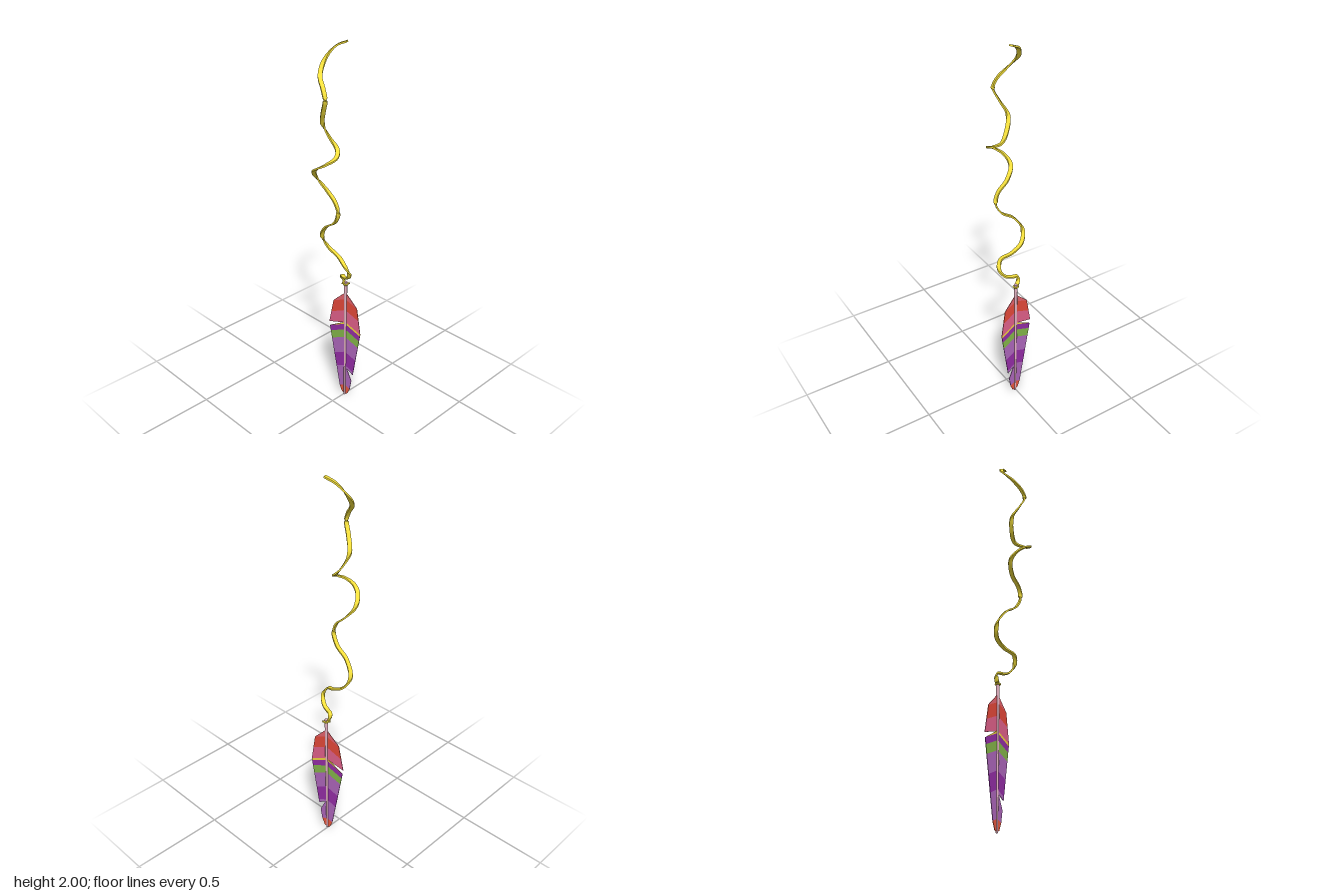
import * as THREE from 'three';
import { mergeGeometries } from 'three/addons/utils/BufferGeometryUtils.js';

const mat = (color) => new THREE.MeshStandardMaterial({ color, side: THREE.DoubleSide });
const YELLOW = 0xf5e03c;
const QUILL = { x: 0.092, z: 0.004 };

// Rectangular band swept along a curve, its width kept nearly level
function ribbon(points, width, thick, steps) {
  const curve = new THREE.CatmullRomCurve3(points.map((p) => new THREE.Vector3(...p)));
  const up = new THREE.Vector3(0, 1, 0);
  const at = (u) => curve.getPointAt(THREE.MathUtils.clamp(u, 0, 1));
  const corners = [[-1, -1], [1, -1], [1, 1], [-1, 1]];
  const rings = [];
  for (let i = 0; i <= steps; i++) {
    const u = i / steps, p = at(u), t = curve.getTangentAt(u);
    // heading averaged over a short stretch, so the band turns gently
    const heading = at(u + 0.02).sub(at(u - 0.02));
    const side = heading.cross(up).normalize();
    side.addScaledVector(t, -side.dot(t)).normalize();
    const nor = new THREE.Vector3().crossVectors(side, t);
    rings.push(corners.map(([a, b]) =>
      p.clone().addScaledVector(side, a * width / 2).addScaledVector(nor, b * thick / 2)));
  }
  // each of the four faces has its own vertices: smooth along, sharp across
  const strips = corners.map((_, k) => {
    const pos = [], idx = [];
    rings.forEach((ring, i) => {
      pos.push(...ring[k].toArray(), ...ring[(k + 1) % 4].toArray());
      const a = i * 2;
      if (i < steps) idx.push(a, a + 1, a + 2, a + 1, a + 3, a + 2);
    });
    return surface(pos, idx);
  });
  const caps = [[rings[0], [0, 2, 1, 0, 3, 2]], [rings[steps], [0, 1, 2, 0, 2, 3]]]
    .map(([ring, idx]) => surface(ring.flatMap((v) => v.toArray()), idx));
  return mergeGeometries([...strips, ...caps]);
}

function surface(pos, idx) {
  const g = new THREE.BufferGeometry();
  g.setAttribute('position', new THREE.Float32BufferAttribute(pos, 3));
  g.setIndex(idx);
  g.computeVertexNormals();
  return g;
}

// Keeps the part of a polygon where f(point) >= 0
function clip(poly, f) {
  const out = [];
  poly.forEach((a, i) => {
    const b = poly[(i + 1) % poly.length], fa = f(a), fb = f(b);
    if (fa >= 0) out.push(a);
    if (fa * fb < 0) {
      const t = fa / (fa - fb);
      out.push([a[0] + (b[0] - a[0]) * t, a[1] + (b[1] - a[1]) * t]);
    }
  });
  return out;
}

export function createModel() {
  const root = new THREE.Group();
  const add = (name, geometry, color, parent = root) => {
    const m = new THREE.Mesh(geometry, mat(color));
    m.name = name;
    parent.add(m);
    return m;
  };

  // Curling cord
  add('cord', ribbon([
    [0.07, 1.996, 0.022], [0.048, 1.972, -0.025], [0.008, 1.915, -0.056], [-0.045, 1.85, -0.035],
    [-0.067, 1.8, 0.008], [-0.073, 1.755, 0.027], [-0.06, 1.69, 0.0], [-0.035, 1.62, -0.03],
    [-0.01, 1.55, -0.005], [0.0, 1.505, 0.03], [-0.04, 1.478, 0.063], [-0.09, 1.453, 0.045],
    [-0.104, 1.425, 0.0], [-0.085, 1.392, -0.04], [-0.05, 1.345, -0.056], [-0.022, 1.285, -0.015],
    [-0.018, 1.235, 0.038], [-0.015, 1.18, 0.054], [-0.01, 1.12, 0.025], [-0.004, 1.07, -0.045],
    [0.012, 0.995, -0.088], [0.036, 0.935, -0.065], [0.044, 0.9, 0.0], [0.03, 0.875, 0.055],
    [0.045, 0.83, 0.074], [0.06, 0.787, 0.05], [0.07, 0.775, 0.015], [0.08, 0.774, -0.012],
    [0.086, 0.75, -0.013], [0.092, 0.722, 0.002],
  ], 0.021, 0.008, 240), YELLOW);

  // Knot around the quill, with two loose ends
  const knot = new THREE.Group();
  knot.name = 'knot';
  knot.position.set(QUILL.x, 0.722, QUILL.z);
  root.add(knot);
  add('knotWrap', new THREE.TorusGeometry(0.011, 0.005, 6, 12).rotateX(Math.PI / 2), YELLOW, knot);
  [-0.6, 2.2].forEach((angle) => {
    const end = add('knotEnd', new THREE.BoxGeometry(0.018, 0.005, 0.011).translate(0.012, 0, 0), YELLOW, knot);
    end.rotation.set(0, angle, 0.15);
  });

  // Feather, turned nearly edge-on to the front
  const feather = new THREE.Group();
  feather.name = 'feather';
  feather.position.set(QUILL.x, 0, QUILL.z);
  feather.rotation.y = -(Math.PI / 2 - 0.16);
  root.add(feather);
  add('quill', new THREE.CylinderGeometry(0.009, 0.006, 0.735, 8).translate(0, 0.3675, 0), 0xe6b4c4, feather);

  // Vane outlines as [distance from quill, height], split at the notches
  const vanes = [
    [1, [[0, 0.67], [0.074, 0.595], [0.098, 0.44], [0.053, 0.155], [0.012, 0.18], [0, 0.18]]],
    [1, [[0, 0.18], [0.012, 0.18], [0.044, 0.11], [0.034, 0.05], [0.018, 0.012], [0, 0.003]]],
    [-1, [[0, 0.67], [0.078, 0.595], [0.106, 0.45], [0.012, 0.478], [0, 0.478]]],
    [-1, [[0, 0.478], [0.012, 0.478], [0.102, 0.425], [0.053, 0.155], [0.034, 0.05], [0.018, 0.012], [0, 0.003]]],
  ];
  // Chevron bands from the top: lower limit at the quill, colour
  const bands = [
    [0.628, 0xe8646e, 'topBand'], [0.56, 0xe84a3a, 'redBand'], [0.485, 0xe4628c, 'pinkBand'],
    [0.472, 0xf5d840, 'yellowStripe'], [0.437, 0x962ea8, 'upperPurpleBand'], [0.388, 0x86b84a, 'greenBand'],
    [0.29, 0xb068be, 'upperLilacBand'], [0.2, 0x962ea8, 'lowerPurpleBand'], [0.065, 0xb068be, 'lowerLilacBand'],
    [-0.1, 0xec5a40, 'tipBand'],
  ];
  const level = ([u, y]) => y + 0.45 * u;
  const THICK = 0.003;
  let top = 1;
  for (const [low, color, name] of bands) {
    const pieces = [];
    for (const [side, outline] of vanes) {
      const poly = clip(clip(outline, (p) => level(p) - low), (p) => top - level(p));
      if (poly.length < 3) continue;
      const shape = new THREE.Shape(poly.map(([u, y]) => new THREE.Vector2(side * u, y)));
      pieces.push(new THREE.ExtrudeGeometry(shape, { depth: THICK, bevelEnabled: false }).translate(0, 0, -THICK / 2));
    }
    add(name, mergeGeometries(pieces), color, feather);
    top = low;
  }
  return root;
}
